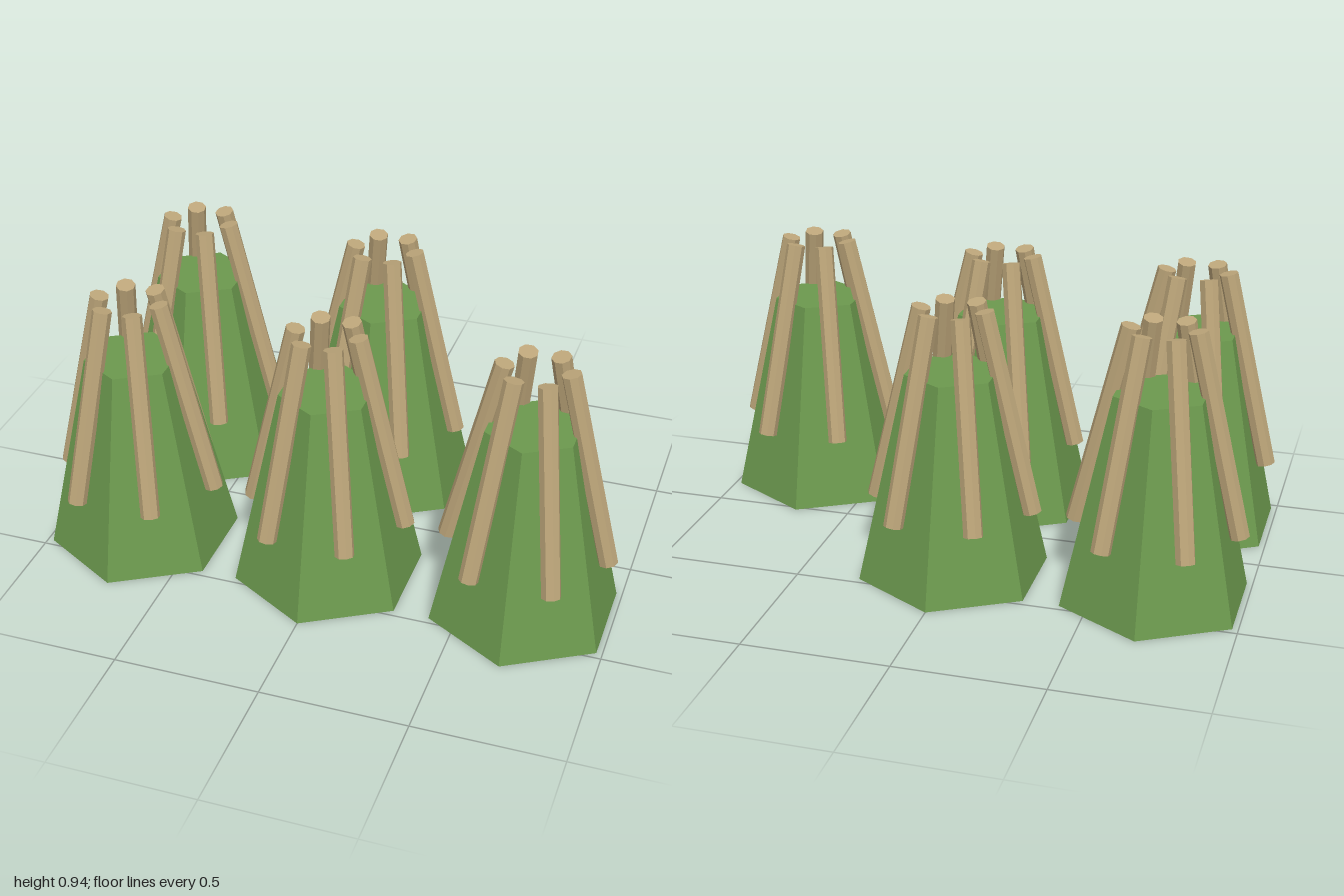
import * as THREE from 'three';

const UP = new THREE.Vector3(0, 1, 0);

export function createModel() {
  const group = new THREE.Group();
  const green = new THREE.MeshStandardMaterial({ color: 0x6c994e });
  green.name = 'leaf green';
  const tan = new THREE.MeshStandardMaterial({ color: 0xbda67a });
  tan.name = 'pole tan';

  // Six-sided tapered plant body, standing on the ground
  const bodyGeo = new THREE.CylinderGeometry(0.165, 0.33, 0.725, 6).toNonIndexed();
  bodyGeo.translate(0, 0.3625, 0);
  bodyGeo.computeVertexNormals();

  // Straight pole between its upper and lower end, leaning inwards along +x
  const top = new THREE.Vector3(0.107, 0.937, 0);
  const bottom = new THREE.Vector3(0.273, 0.248, 0);
  const dir = top.clone().sub(bottom);
  const poleGeo = new THREE.CylinderGeometry(0.033, 0.033, dir.length(), 8).toNonIndexed();
  poleGeo.applyQuaternion(new THREE.Quaternion().setFromUnitVectors(UP, dir.normalize()));
  poleGeo.translate(...top.add(bottom).multiplyScalar(0.5).toArray());
  poleGeo.computeVertexNormals();

  function createPlant(x, z) {
    const plant = new THREE.Group();
    plant.name = 'stakedPlant';
    plant.position.set(x, 0, z);
    const body = new THREE.Mesh(bodyGeo, green);
    body.name = 'plantBody';
    plant.add(body);
    // Ring of poles, one over each face
    for (let i = 0; i < 6; i++) {
      const pole = new THREE.Mesh(poleGeo, tan);
      pole.name = 'pole';
      pole.rotation.y = (i * Math.PI) / 3;
      plant.add(pole);
    }
    return plant;
  }

  // Three plants in the front row, two in the back row
  const spots = [[-0.694, 0.31], [0, 0.31], [0.694, 0.31], [-0.694, -0.31], [0, -0.31]];
  for (const [x, z] of spots) group.add(createPlant(x, z));
  return group;
}
